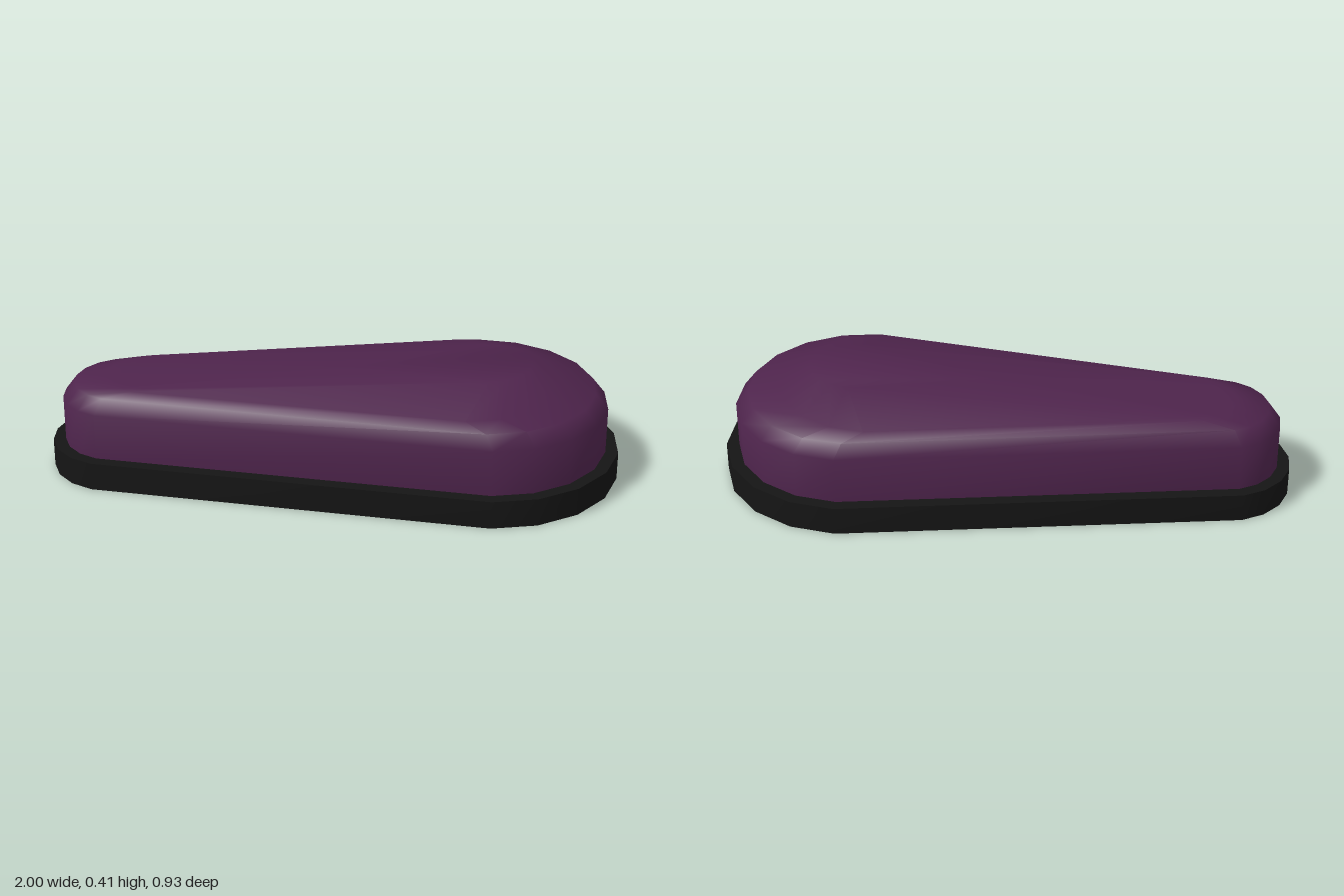
import * as THREE from 'three';
import { toCreasedNormals } from 'three/addons/utils/BufferGeometryUtils.js';

// Tapered capsule outline: wide arc at +x, narrow arc at -x, in 20 degree steps.
// y is a height or a function of x.
function ring({ wide, narrow, y }) {
  const points = [];
  for (let i = 0; i < 18; i++) {
    const angle = THREE.MathUtils.degToRad(-90 + i * 20);
    const [centre, radius] = i < 10 ? wide : narrow;
    const x = centre + radius * Math.cos(angle);
    const height = typeof y === 'function' ? y(x) : y;
    points.push(new THREE.Vector3(x, height, -radius * Math.sin(angle)));
  }
  return points;
}

// Skin a stack of rings from bottom to top and close both ends.
function loft(sections, crease) {
  const rings = sections.map(ring);
  const n = rings[0].length;
  const corners = [];
  const middle = (r) => r.reduce((s, p) => s.add(p), new THREE.Vector3()).divideScalar(n);
  const bottom = rings[0], top = rings[rings.length - 1];
  const bottomMid = middle(bottom), topMid = middle(top);
  for (let i = 0; i < n; i++) {
    const j = (i + 1) % n;
    for (let k = 0; k < rings.length - 1; k++) {
      const a = rings[k], b = rings[k + 1];
      corners.push(a[i], a[j], b[j], a[i], b[j], b[i]);
    }
    corners.push(top[i], top[j], topMid, bottom[j], bottom[i], bottomMid);
  }
  const geometry = new THREE.BufferGeometry().setFromPoints(corners);
  return toCreasedNormals(geometry, crease);
}

export function createModel() {
  const group = new THREE.Group();
  group.name = 'taperedHousing';
  const add = (name, geometry, color) => {
    const mesh = new THREE.Mesh(geometry, new THREE.MeshStandardMaterial({ color }));
    mesh.name = name;
    group.add(mesh);
  };

  // Flat dark plinth
  const plinth = { wide: [0.542, 0.465], narrow: [-0.757, 0.247] };
  add('base', loft([{ ...plinth, y: 0 }, { ...plinth, y: 0.1 }], 0.5), 0x151515);

  // Shell: upright wall, rounded shoulder, then a top plane that climbs to the wide end
  const wall = { wide: [0.542, 0.42], narrow: [-0.757, 0.203] };
  add('shell', loft([
    { ...wall, y: 0.1 },
    { ...wall, y: 0.265 },
    { wide: [0.517, 0.4], narrow: [-0.737, 0.181], y: 0.32 },
    { wide: [0.45, 0.35], narrow: [-0.638, 0.165], y: 0.341 },
    { wide: [0.535, 0.16], narrow: [-0.6, 0.155], y: (x) => 0.343 + 0.044 * (x + 0.8) },
  ], 0.9), 0x4e244c);

  return group;
}
